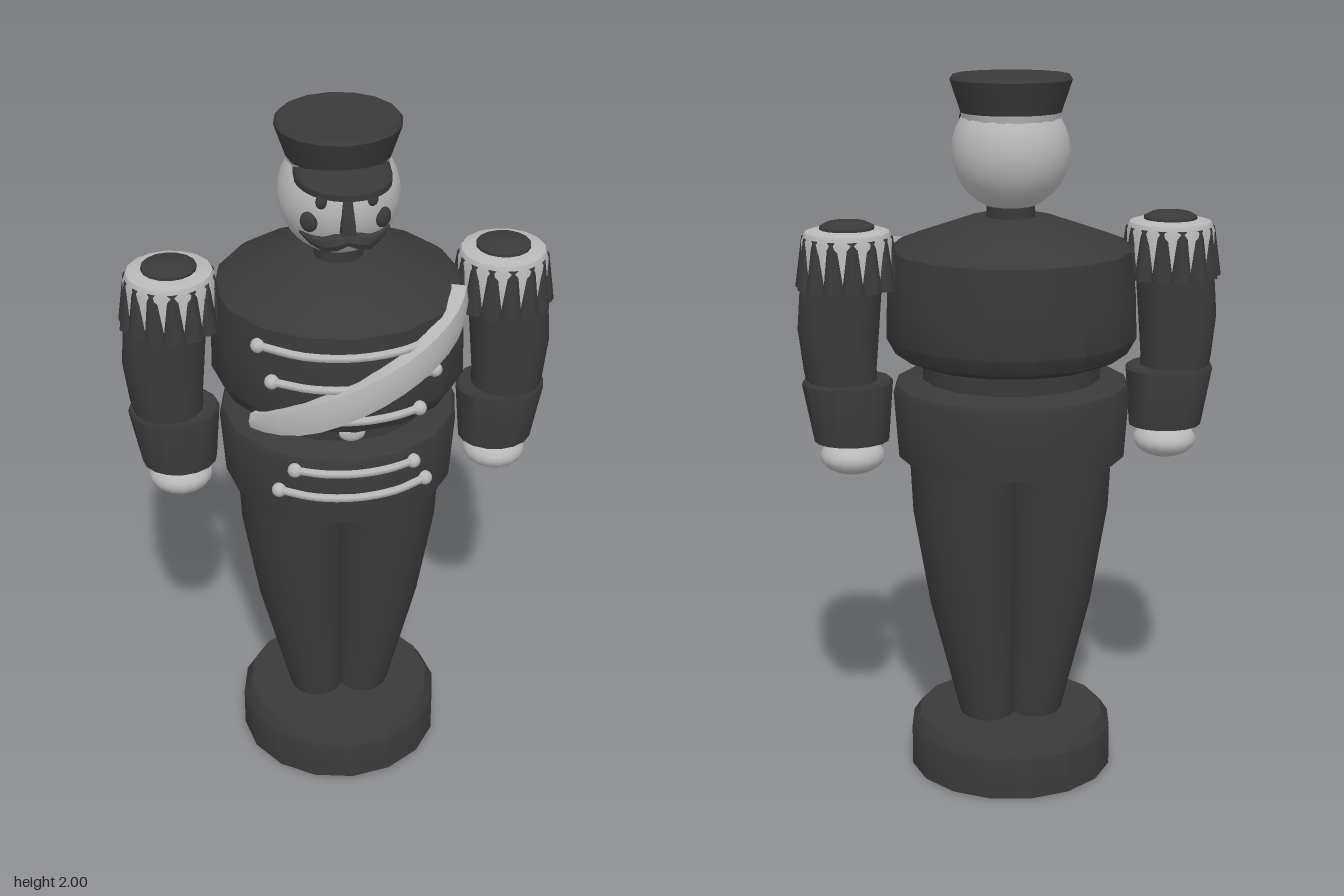
import * as THREE from 'three';
import { toCreasedNormals } from 'three/addons/utils/BufferGeometryUtils.js';

const V = (x, y, z) => new THREE.Vector3(x, y, z);
const CZ = -0.02; // depth of the body axis

function material(name, color) {
  const m = new THREE.MeshStandardMaterial({ color });
  m.name = name;
  return m;
}

// Solid skin through a row of closed sections, capped at both ends
function loft(sections) {
  const tris = [];
  const n = sections[0].length;
  for (let i = 0; i < sections.length - 1; i++) {
    for (let j = 0; j < n; j++) {
      const k = (j + 1) % n;
      const [a, b, c, d] = [sections[i][j], sections[i][k], sections[i + 1][k], sections[i + 1][j]];
      tris.push([a, b, c], [a, c, d]);
    }
  }
  const first = sections[0], last = sections[sections.length - 1];
  for (let j = 1; j < n - 1; j++) {
    tris.push([first[0], first[j + 1], first[j]], [last[0], last[j], last[j + 1]]);
  }
  // Turn the faces outwards
  let volume = 0;
  for (const [a, b, c] of tris) volume += a.dot(b.clone().cross(c));
  const points = tris.flatMap(([a, b, c]) => (volume < 0 ? [a, c, b] : [a, b, c]));
  const g = new THREE.BufferGeometry().setFromPoints(points);
  return toCreasedNormals(g, 0.6);
}

// Horizontal elliptical section
function ring(x, y, z, rx, rz, n = 16) {
  return Array.from({ length: n }, (_, i) => {
    const a = (i / n) * Math.PI * 2;
    return V(x + rx * Math.sin(a), y, z + rz * Math.cos(a));
  });
}

function turned(profile, sides = 16) {
  const g = new THREE.LatheGeometry(profile.map(([r, y]) => new THREE.Vector2(r, y)), sides);
  return toCreasedNormals(g, 0.6);
}

export function createModel() {
  const model = new THREE.Group();
  model.name = 'toySoldier';
  const dark = material('dark charcoal', 0x3a3a3a);
  const light = material('light grey', 0xb8b8b8);

  function add(name, geometry, mat, x = 0, y = 0, z = 0, parent = model) {
    const mesh = new THREE.Mesh(geometry, mat);
    mesh.name = name;
    mesh.position.set(x, y, z);
    parent.add(mesh);
    return mesh;
  }
  function ball(name, mat, x, y, z, rx, ry = rx, rz = rx, parent = model) {
    const mesh = add(name, new THREE.SphereGeometry(1, 16, 12), mat, x, y, z, parent);
    mesh.scale.set(rx, ry, rz);
    return mesh;
  }

  // Hollow round base
  add('base', turned([[0, 0.13], [0.275, 0.13], [0.28, 0], [0.293, 0], [0.293, 0.12], [0.27, 0.155], [0, 0.155]]),
    dark, 0, 0, -0.01);

  // Legs, side by side and tapering to the base
  for (const s of [-1, 1]) {
    const rows = [[0.14, 0.068, 0.077, 0.088], [0.5, 0.11, 0.125, 0.132], [0.78, 0.131, 0.15, 0.165], [0.97, 0.135, 0.155, 0.177]];
    add(s > 0 ? 'leftLeg' : 'rightLeg', loft(rows.map(([y, x, rx, rz]) => ring(s * x, y, -0.01, rx, rz))), dark);
  }

  // Coat skirt, waist, chest and neck
  add('skirt', turned([[0, 0.945], [0.32, 0.945], [0.333, 1.13], [0.325, 1.15], [0.29, 1.165], [0, 1.165]]), dark, 0, 0, CZ);
  add('waist', turned([[0.25, 1.15], [0.25, 1.25]]), dark, 0, 0, CZ);
  add('chest', turned([[0, 1.22], [0.28, 1.22], [0.325, 1.24], [0.35, 1.285], [0.347, 1.4], [0.335, 1.525],
    [0.315, 1.542], [0.2, 1.582], [0.12, 1.61], [0, 1.612]]), dark, 0, 0, CZ);
  add('neck', turned([[0.067, 1.59], [0.067, 1.67]]), dark, 0, 0, -0.01);
  ball('buckle', light, 0, 1.195, 0.235, 0.036, 0.025, 0.015);

  // Braided bars with a knob at each end
  const bars = [[1.475, 0.245, 0.342], [1.385, 0.215, 0.35], [1.29, 0.17, 0.352], [1.115, 0.16, 0.334], [1.035, 0.2, 0.329]];
  for (const [y, half, r] of bars) {
    const a = Math.asin(half / r);
    const at = t => V(r * Math.sin(a * t), y, CZ + r * Math.cos(a * t));
    const path = new THREE.CatmullRomCurve3([-1, -0.5, 0, 0.5, 1].map(at));
    add('braidBar', new THREE.TubeGeometry(path, 16, 0.012, 6), light);
    for (const s of [-1, 1]) {
      const p = at(s);
      ball('braidKnob', light, p.x, p.y, p.z, 0.02);
    }
  }

  // Sash across the chest
  const sash = [];
  for (let i = 0; i <= 14; i++) {
    const t = i / 14;
    const a = THREE.MathUtils.lerp(-0.86, 1.2, t);
    const r = 0.335 + 0.045 * Math.sin(Math.PI * Math.min(1, t * 0.75 + 0.15));
    const y = 1.36 + 0.43 * r * Math.sin(a);
    const h = 0.022 + 0.023 * Math.min(1, t * 4);
    const p = (rad, dy) => V(rad * Math.sin(a), y + dy, CZ + rad * Math.cos(a));
    sash.push([p(r - 0.04, -h), p(r, -h), p(r + 0.007, 0), p(r, h), p(r - 0.04, h)]);
  }
  add('sash', loft(sash), light);

  // Arms with cuffs, hands and fringed epaulettes
  for (const s of [-1, 1]) {
    const arm = new THREE.Group();
    arm.name = s > 0 ? 'leftArm' : 'rightArm';
    model.add(arm);
    const sleeve = [[1.14, 0.47, 0.095], [1.2, 0.478, 0.1], [1.32, 0.48, 0.112], [1.42, 0.472, 0.112], [1.52, 0.455, 0.1]];
    add('sleeve', loft(sleeve.map(([y, x, r]) => ring(s * x, y, -0.012, r, 0.102))), dark, 0, 0, 0, arm);
    add('cuff', loft([ring(s * 0.45, 1.0, -0.012, 0.104, 0.094), ring(s * 0.459, 1.165, -0.012, 0.126, 0.108),
      ring(s * 0.46, 1.175, -0.012, 0.12, 0.104)]), dark, 0, 0, 0, arm);
    ball('hand', light, s * 0.45, 0.955, -0.012, 0.09, 0.05, 0.095, arm);

    const epaulette = new THREE.Group();
    epaulette.name = 'epaulette';
    epaulette.position.set(s * 0.452, 0, CZ);
    arm.add(epaulette);
    add('epaulettePad', turned([[0, 1.45], [0.122, 1.45], [0.124, 1.565], [0.115, 1.585], [0.09, 1.592], [0, 1.592]]),
      light, 0, 0, 0, epaulette);
    add('epauletteButton', turned([[0.076, 1.58], [0.074, 1.6], [0.055, 1.61], [0, 1.613]]), dark, 0, 0, 0, epaulette);
    const tassel = new THREE.CylinderGeometry(0.019, 0.031, 0.14, 8);
    for (let i = 0; i < 14; i++) {
      const a = (i / 14) * Math.PI * 2;
      const pivot = new THREE.Group();
      pivot.name = 'fringe';
      pivot.rotation.y = a;
      epaulette.add(pivot);
      add('tassel', tassel, dark, 0, 1.502, 0.109, pivot).rotation.x = -0.06;
    }
  }

  // Head and face
  ball('head', light, 0, 1.79, -0.01, 0.163).geometry = new THREE.SphereGeometry(1, 24, 16);
  for (const s of [-1, 1]) {
    ball('eye', dark, s * 0.065, 1.827, 0.132, 0.016, 0.02, 0.012);
    ball('cheek', dark, s * 0.096, 1.768, 0.118, 0.025, 0.028, 0.016).rotation.y = s * 0.65;
    // One half of the moustache, thick near the nose and curling up at the tip
    const rows = [[-0.002, 1.722, 0.145, 0.016], [0.03, 1.717, 0.144, 0.024], [0.06, 1.707, 0.13, 0.021],
      [0.09, 1.712, 0.108, 0.014], [0.118, 1.73, 0.092, 0.004]];
    add('moustache', loft(rows.map(([x, y, z, r]) => Array.from({ length: 8 }, (_, i) => {
      const a = (i / 8) * Math.PI * 2;
      return V(s * x, y + r * Math.cos(a), z + r * Math.sin(a));
    }))), dark);
  }
  const noseRow = (y, w, z) => [V(-w, y, 0.1), V(w, y, 0.1), V(w * 0.8, y, z), V(-w * 0.8, y, z)];
  add('nose', loft([noseRow(1.745, 0.023, 0.172), noseRow(1.77, 0.022, 0.172), noseRow(1.838, 0.014, 0.15)]), dark);

  // Cap flaring towards its crown, with a pale band and a visor
  add('cap', turned([[0, 1.895], [0.138, 1.895], [0.168, 1.983], [0.16, 1.994], [0, 2]]), dark, 0, 0, -0.015);
  add('capBand', turned([[0.12, 1.878], [0.134, 1.876], [0.139, 1.9], [0.12, 1.9]]), light, 0, 0, -0.015);
  const visor = [];
  for (let i = 0; i <= 14; i++) {
    const a = THREE.MathUtils.lerp(-1.5, 1.5, i / 14);
    const c = Math.cos(a);
    const reach = 0.13 * Math.sqrt(c);
    const x = 0.128 * Math.sin(a);
    const zIn = 0.12 * c - 0.015, zOut = zIn + reach + 0.01;
    const yIn = 1.885 + 0.025 * c, yOut = 1.862 + 0.022 * c;
    visor.push([V(x, yIn, zIn), V(x, yOut + 0.008, zOut), V(x, yOut - 0.008, zOut), V(x, yIn - 0.022, zIn)]);
  }
  add('visor', loft(visor), dark);

  return model;
}
